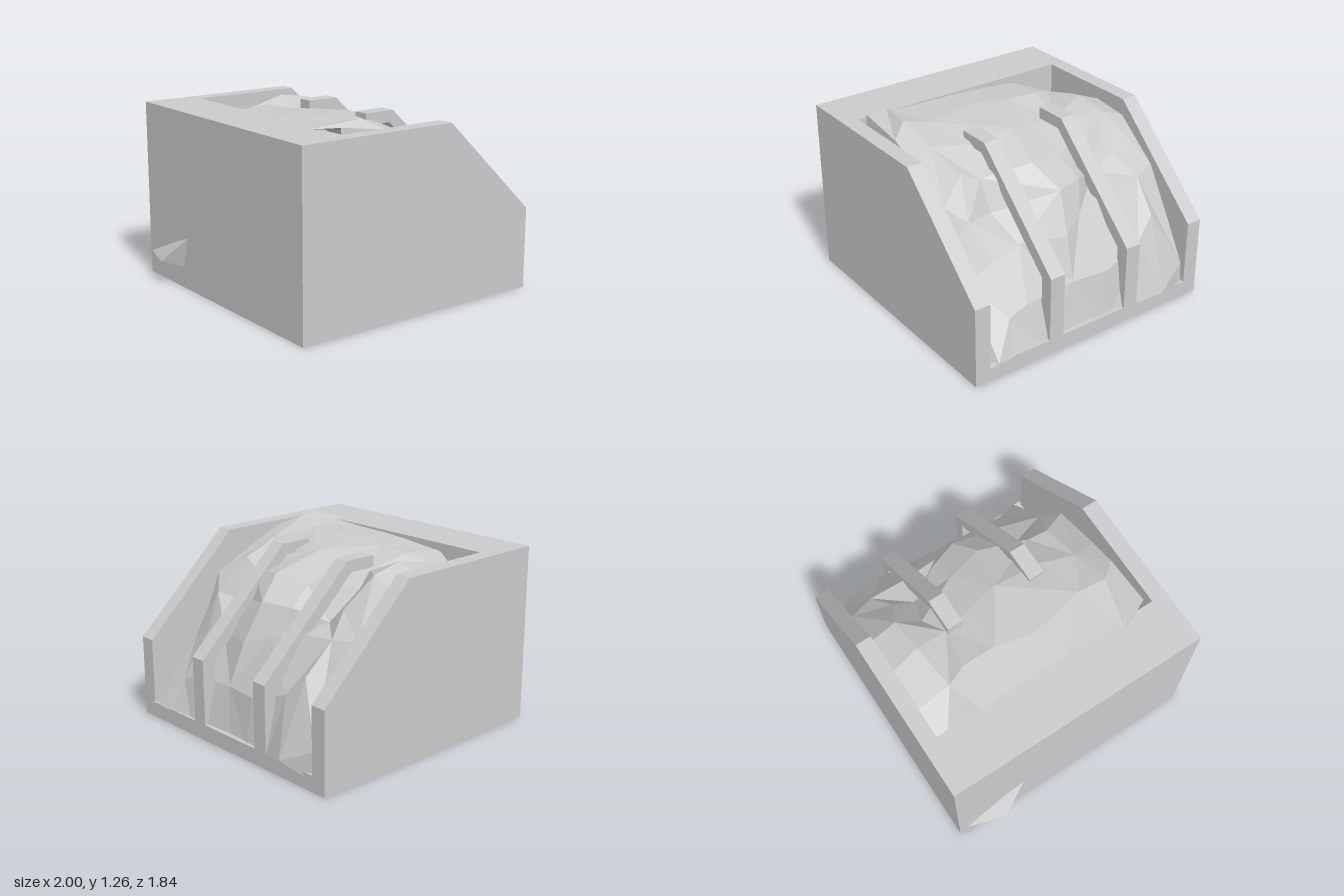
import * as THREE from 'three';
import { ConvexGeometry } from 'three/addons/geometries/ConvexGeometry.js';

const concrete = new THREE.MeshStandardMaterial({ color: 0xcccccc, flatShading: true });
const stone = new THREE.MeshStandardMaterial({ color: 0xcccccc, flatShading: true, side: THREE.DoubleSide });

const BASE = 0.11, THICK = 0.11;

function add(parent, name, geometry, material = concrete) {
  const mesh = new THREE.Mesh(geometry, material);
  mesh.name = name;
  parent.add(mesh);
  return mesh;
}

function box(parent, name, x0, x1, y0, y1, z0, z1) {
  add(parent, name, new THREE.BoxGeometry(x1 - x0, y1 - y0, z1 - z0))
    .position.set((x0 + x1) / 2, (y0 + y1) / 2, (z0 + z1) / 2);
}

// Upright slab cut from an x/y outline, starting at z
function slab(parent, name, outline, z) {
  const shape = new THREE.Shape(outline.map(([x, y]) => new THREE.Vector2(x, y)));
  const geometry = new THREE.ExtrudeGeometry(shape, { depth: THICK, bevelEnabled: false });
  add(parent, name, geometry).position.z = z;
}

// Craggy slope: one x,y profile per station along z, joined into facets
function rockGeometry() {
  const stations = [-0.8, -0.6, -0.42, -0.15, 0.06, 0.42, 0.6, 0.76];
  const profiles = [
    [-0.6, 0.88, -0.28, 1.08, 0, 1.14, 0.26, 1.11, 0.57, 0.86, 0.78, 0.5, 0.92, 0.25, 0.93, 0.05],
    [-0.6, 1.0, -0.28, 1.16, 0.02, 1.22, 0.26, 1.18, 0.45, 0.98, 0.62, 0.84, 0.81, 0.64, 1.0, 0.14],
    [-0.6, 1.16, -0.23, 1.2, 0.05, 1.12, 0.22, 1.05, 0.43, 0.86, 0.62, 0.82, 0.85, 0.5, 0.95, 0.1],
    [-0.6, 1.19, -0.23, 1.21, 0.1, 1.15, 0.38, 1.04, 0.55, 0.93, 0.66, 0.75, 0.88, 0.4, 0.93, 0.08],
    [-0.6, 1.2, -0.3, 1.22, 0.12, 1.19, 0.43, 1.08, 0.62, 0.94, 0.75, 0.68, 0.85, 0.4, 0.92, 0.08],
    [-0.6, 1.21, -0.22, 1.22, 0.1, 1.16, 0.33, 1.03, 0.44, 0.83, 0.66, 0.68, 0.85, 0.37, 0.94, 0.08],
    [-0.6, 1.22, -0.25, 1.26, 0.02, 1.17, 0.3, 1.08, 0.5, 0.85, 0.65, 0.62, 0.85, 0.32, 0.95, 0.1],
    [-0.5, 1.25, -0.15, 1.2, 0.05, 1.12, 0.4, 0.95, 0.5, 0.72, 0.62, 0.52, 0.85, 0.26, 0.97, 0.12],
  ];
  const rows = profiles.map((profile, i) => {
    const edge = i === 0 || i === profiles.length - 1;
    return Array.from({ length: 8 }, (_, j) => [
      profile[2 * j], profile[2 * j + 1],
      stations[i] + (edge ? 0 : 0.045 * Math.sin(i * 5 + j * 2.3)),
    ]);
  });
  // Steep flank beside the front wall
  rows.push(rows[rows.length - 1].map(([x, y]) => [x, Math.min(y, 0.11), 0.82]));

  const positions = [];
  for (let i = 0; i < rows.length - 1; i++) {
    for (let j = 0; j < 7; j++) {
      const a = rows[i][j], b = rows[i + 1][j], c = rows[i + 1][j + 1], d = rows[i][j + 1];
      const corners = (i + j) % 2 ? [a, b, d, b, c, d] : [a, b, c, a, c, d];
      positions.push(...corners.flat());
    }
  }
  const geometry = new THREE.BufferGeometry();
  geometry.setAttribute('position', new THREE.Float32BufferAttribute(positions, 3));
  geometry.computeVertexNormals();
  return geometry;
}

export function createModel() {
  const model = new THREE.Group();
  model.name = 'rockBay';

  // Floor and thick rear wall
  box(model, 'baseSlab', -0.9, 0.95, 0, BASE, -0.92, 0.92);
  box(model, 'rearWall', -0.9, -0.53, BASE, 1.22, -0.81, 0.81);

  // Side walls with sloping top corners
  const wall = [[-0.9, BASE], [0.95, BASE], [0.95, 0.56], [0.25, 1.22], [-0.9, 1.22]];
  slab(model, 'frontSideWall', wall, 0.81);
  slab(model, 'backSideWall', wall, -0.92);

  // Bent ribs holding the rock in place
  const rib = [
    [0.02, 1.22], [0.02, 1.14], [0.22, 1.14], [0.86, 0.53],
    [0.86, BASE], [0.95, BASE], [0.95, 0.56], [0.25, 1.22],
  ];
  for (const z of [0.24, -0.38]) slab(model, 'retainingRib', rib, z);

  // Rock fill, with one outcrop poking through the rear wall
  add(model, 'rockSlope', rockGeometry(), stone);
  const outcrop = [
    [-1, 0.17, -0.6], [-0.92, 0.17, -0.87], [-0.89, 0.38, -0.38],
    [-0.89, 0.15, -0.45], [-0.85, 0.15, -0.86], [-0.85, 0.25, -0.6],
  ].map((p) => new THREE.Vector3(...p));
  add(model, 'rearOutcrop', new ConvexGeometry(outcrop), stone);

  return model;
}
